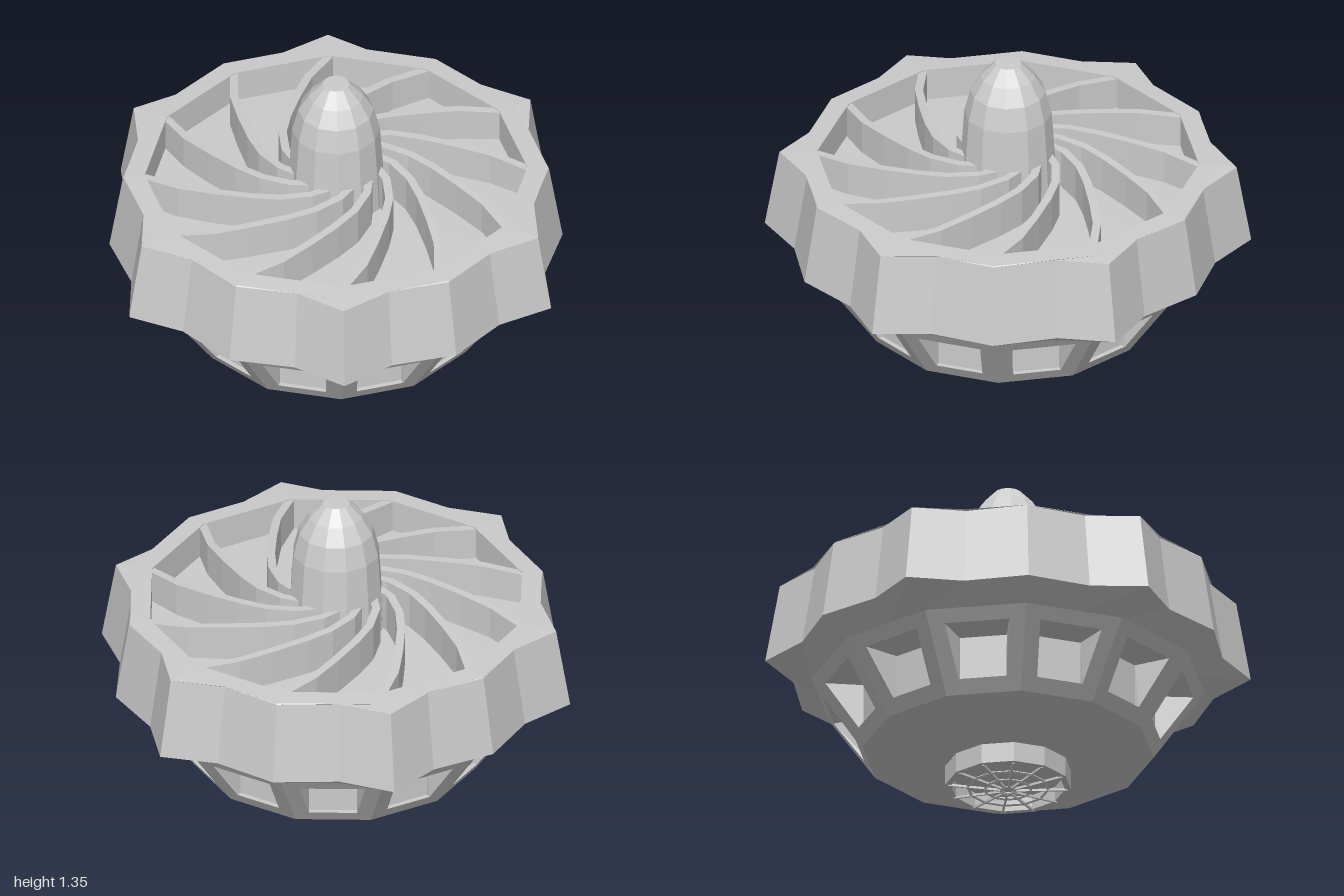
import * as THREE from 'three';

const material = new THREE.MeshStandardMaterial({ color: 0xcccccc, flatShading: true });
const RAD = Math.PI / 180;
const SIDES = 12;

function mesh(name, geometry) {
  const m = new THREE.Mesh(geometry, material);
  m.name = name;
  return m;
}

const polar = (r, deg, y) => new THREE.Vector3(r * Math.cos(deg * RAD), y, -r * Math.sin(deg * RAD));

// Geometry from a list of four-cornered faces
function fromQuads(quads) {
  const points = quads.flatMap(([a, b, c, d]) => [a, b, c, a, c, d]);
  const g = new THREE.BufferGeometry().setFromPoints(points);
  g.computeVertexNormals();
  return g;
}

// Skin over closed cross-sections
function loft(rings) {
  const quads = [];
  for (let j = 0; j < rings.length - 1; j++) {
    const lo = rings[j], hi = rings[j + 1], n = lo.length;
    for (let i = 0; i < n; i++) {
      const k = (i + 1) % n;
      quads.push([lo[i], lo[k], hi[k], hi[i]]);
    }
  }
  return fromQuads(quads);
}

const lathe = (points) => new THREE.LatheGeometry(points.map(([r, y]) => new THREE.Vector2(r, y)), SIDES);

// Outer band: six-pointed outline that blends into a twelve-sided rim
function outerBand() {
  const star = [[0, 1], [13, 0.888], [30, 0.93], [47, 0.888]];
  const ring = (y, radius) => {
    const pts = [];
    for (let k = 0; k < 6; k++) {
      for (const [deg, r] of star) pts.push(polar(radius(deg, r), deg + k * 60, y));
    }
    return pts;
  };
  const dodecagon = (y, r) => ring(y, (deg) => r * Math.cos(15 * RAD) / Math.cos(((deg % 30) - 15) * RAD));
  const outline = (y, s) => ring(y, (deg, r) => r * s);
  return loft([
    dodecagon(0.48, 0.81), outline(0.55, 1), outline(0.89, 0.94),
    dodecagon(0.895, 0.87), dodecagon(0.9, 0.785), dodecagon(0.74, 0.785),
  ]);
}

// One slanted side panel with a wedge-shaped window recess
function windowPanel() {
  const frame = (r0, y0, r1, y1, inset) => {
    const c = Math.cos(15 * RAD), s = Math.sin(15 * RAD);
    const w0 = r0 * s - inset, w1 = r1 * s - inset;
    return [[-w0, y0, r0 * c], [w0, y0, r0 * c], [w1, y1, r1 * c], [-w1, y1, r1 * c]]
      .map((p) => new THREE.Vector3(...p));
  };
  const outer = frame(0.6, 0.18, 0.81, 0.48, 0);
  const hole = frame(0.638, 0.235, 0.775, 0.43, 0.066);
  const back = [[-1, 0.235], [1, 0.235], [1, 0.43], [-1, 0.43]]
    .map(([s, y]) => new THREE.Vector3(s * 0.098, y, 0.595));
  const quads = [back];
  for (let i = 0; i < 4; i++) {
    const k = (i + 1) % 4;
    quads.push([outer[i], outer[k], hole[k], hole[i]], [hole[i], hole[k], back[k], back[i]]);
  }
  return fromQuads(quads);
}

// One curved vane, sweeping from the rim in to the hub
function vane() {
  const path = [[0.79, 0], [0.65, 8], [0.52, 16], [0.4, 28], [0.315, 42], [0.23, 62], [0.16, 85]];
  const pts = path.map(([r, deg]) => polar(r, deg, 0));
  const up = new THREE.Vector3(0, 1, 0);
  const rings = pts.map((p, i) => {
    const dir = pts[Math.min(i + 1, pts.length - 1)].clone().sub(pts[Math.max(i - 1, 0)]).normalize();
    const side = up.clone().cross(dir).multiplyScalar(0.017);
    const top = 0.895 + Math.min(1, (0.79 - path[i][0]) / 0.58) * 0.045;
    return [[-1, 0.74], [1, 0.74], [1, top], [-1, top]]
      .map(([s, y]) => p.clone().addScaledVector(side, s).setY(y));
  });
  return loft(rings);
}

// Twelve copies of a part around the axis
function around(name, partName, geometry, offset = 0) {
  const group = new THREE.Group();
  group.name = name;
  for (let k = 0; k < SIDES; k++) {
    const m = mesh(partName, geometry);
    m.rotation.y = (offset + k * 30) * RAD;
    group.add(m);
  }
  return group;
}

// Domed grille of rings and spokes under the outlet
function grille() {
  const tilt = Math.atan2(0.014, 0.21);
  const spoke = new THREE.BoxGeometry(0.22, 0.01, 0.008);
  spoke.rotateZ(tilt);
  spoke.translate(0.135, 0.013, 0);
  const group = around('bottomGrille', 'grilleSpoke', spoke);
  for (const [r, y] of [[0.03, 0.006], [0.095, 0.01], [0.165, 0.015]]) {
    const ring = new THREE.TorusGeometry(r, 0.006, 4, SIDES);
    ring.rotateX(Math.PI / 2);
    ring.translate(0, y, 0);
    group.add(mesh('grilleRing', ring));
  }
  return group;
}

export function createModel() {
  const model = new THREE.Group();
  model.name = 'turbine';
  model.add(
    mesh('outerBand', outerBand()),
    // Base plate with the hollow outlet collar
    mesh('base', lathe([[0, 0.085], [0.235, 0.085], [0.235, 0.02], [0.26, 0.02], [0.26, 0.105], [0.31, 0.105], [0.6, 0.18]])),
    around('windowPanels', 'windowPanel', windowPanel(), 15),
    mesh('vaneFloor', lathe([[0.785, 0.76], [0, 0.78]])),
    around('vanes', 'vane', vane()),
    mesh('noseCone', lathe([[0.2, 0.76], [0.192, 0.94], [0.18, 1.12], [0.155, 1.22], [0.112, 1.29], [0.055, 1.35], [0, 1.35]])),
    grille(),
  );
  return model;
}
